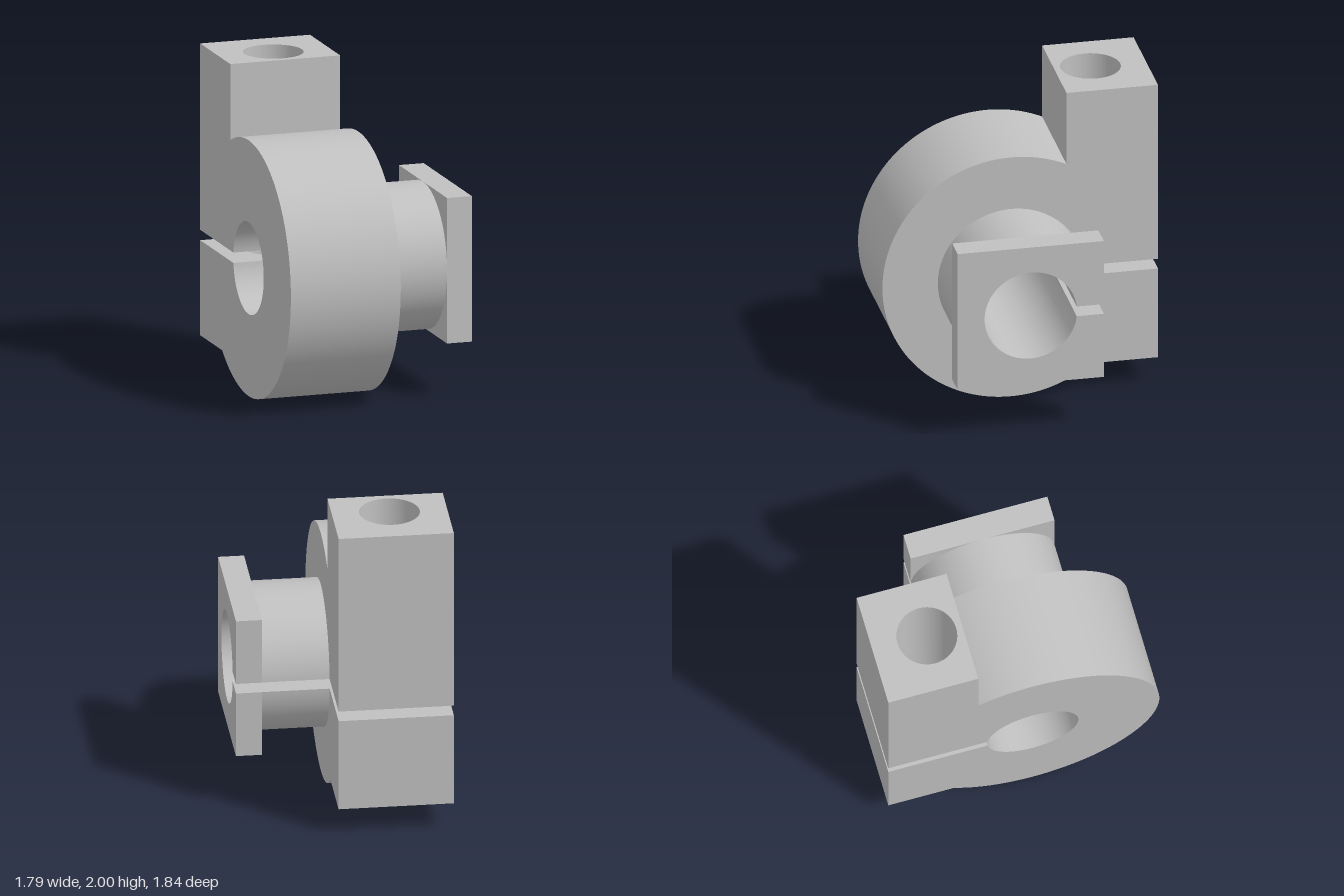
import * as THREE from 'three';
import { toCreasedNormals } from 'three/addons/utils/BufferGeometryUtils.js';

const BORE = 0.2875, SLIT = 0.0325;         // bore radius, half height of the clamp slit
const R = 0.8, HUB_R = 0.455;               // ring and hub radii
const W = 0.353;                            // half width of ring and block
const V0 = 0.345, V1 = 0.914, HOLE_V = 0.57; // block front, block back, screw hole centre
const TOP = 1.198, FOOT = -0.627;           // block top and underside, from the bore axis

const metal = new THREE.MeshStandardMaterial({ color: 0xc0c0c0 });
metal.name = 'light grey metal';

function extrude(shape, depth) {
  return new THREE.ExtrudeGeometry(shape, { depth, bevelEnabled: false, curveSegments: 64 });
}

function addMesh(group, name, geometry) {
  const mesh = new THREE.Mesh(toCreasedNormals(geometry, 0.5), metal);
  mesh.name = name;
  group.add(mesh);
}

// Cross-section with a bore and a slit opening to the rear, swept along the bore axis
function slotted(startX, x0, x1, drawOuter) {
  const s = new THREE.Shape();
  s.moveTo(startX, SLIT);
  drawOuter(s);
  s.lineTo(startX, -SLIT);
  const b = Math.asin(SLIT / BORE);
  s.lineTo(BORE * Math.cos(b), -SLIT);
  s.absarc(0, 0, BORE, 2 * Math.PI - b, b, true);
  s.closePath();
  return extrude(s, x1 - x0).rotateY(Math.PI / 2).translate(x0, 0, 0);
}

// Plan outline swept upwards from y0 to y1
function upright(shape, y0, y1) {
  return extrude(shape, y1 - y0).rotateX(-Math.PI / 2).translate(0, y0, 0);
}

export function createModel() {
  const model = new THREE.Group();
  model.name = 'slottedClamp';
  const g = new THREE.Group();
  g.name = 'clampBody';
  g.position.set(-0.14, 0.802, -0.03);
  model.add(g);
  model.rotation.y = Math.PI / 6;

  // Large ring, cut off where the clamp block begins
  const a = Math.acos(V0 / R);
  addMesh(g, 'ring', slotted(V0, -W, W, s => {
    s.lineTo(V0, R * Math.sin(a));
    s.absarc(0, 0, R, a, 2 * Math.PI - a, false);
  }));

  // Hub
  const c = Math.asin(SLIT / HUB_R);
  addMesh(g, 'hub', slotted(HUB_R * Math.cos(c), W, 0.768, s => {
    s.absarc(0, 0, HUB_R, c, 2 * Math.PI - c, false);
  }));

  // Square flange
  const F = HUB_R;
  addMesh(g, 'flange', slotted(F, 0.768, 0.927, s => {
    for (const [x, y] of [[F, F], [-F, F], [-F, -F], [F, -F]]) s.lineTo(x, y);
  }));

  // Upper clamp block with clearance hole
  const upper = new THREE.Shape();
  upper.moveTo(-W, V0).lineTo(W, V0).lineTo(W, V1).lineTo(-W, V1).closePath();
  const hole = new THREE.Path();
  hole.absarc(0, HOLE_V, 0.185, 0, 2 * Math.PI, true);
  upper.holes.push(hole);
  addMesh(g, 'upperJaw', upright(upper, SLIT, TOP));

  // Lower clamp block, split where its flat underside meets the ring's curve
  const r = 0.175, k = Math.sqrt(R * R - FOOT * FOOT);
  const h = Math.sqrt(r * r - (k - HOLE_V) ** 2);
  const phi = Math.atan2(k - HOLE_V, h);

  const rear = new THREE.Shape();
  rear.moveTo(-W, k).lineTo(-h, k);
  rear.absarc(0, HOLE_V, r, Math.PI - phi, phi, true);
  rear.lineTo(W, k).lineTo(W, V1).lineTo(-W, V1).closePath();
  addMesh(g, 'lowerJawRear', upright(rear, FOOT, -SLIT));

  const front = new THREE.Shape();
  const N = 8;
  front.moveTo(-W, V0);
  for (let i = 0; i <= N; i++) front.lineTo(W, V0 + (k - V0) * i / N);
  front.lineTo(h, k);
  front.absarc(0, HOLE_V, r, phi, -Math.PI - phi, true);
  for (let i = N; i > 0; i--) front.lineTo(-W, V0 + (k - V0) * i / N);
  front.closePath();
  const frontGeo = upright(front, FOOT, -SLIT);
  // Underside follows the ring
  const p = frontGeo.attributes.position;
  for (let i = 0; i < p.count; i++) {
    if (p.getY(i) < FOOT + 0.001) p.setY(i, -Math.sqrt(R * R - p.getZ(i) ** 2));
  }
  addMesh(g, 'lowerJawFront', frontGeo);

  return model;
}
